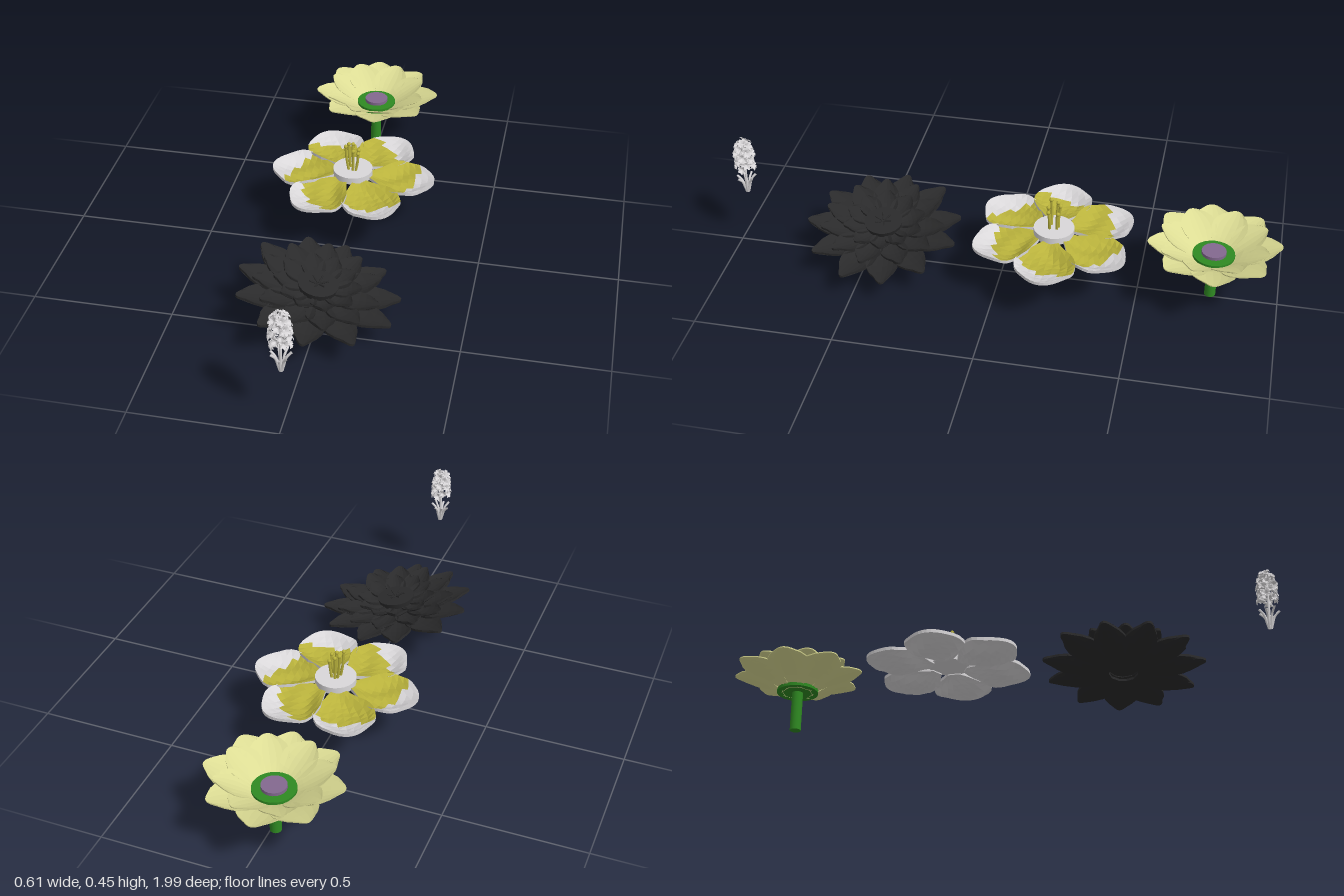
import * as THREE from 'three';
import { mergeGeometries } from 'three/addons/utils/BufferGeometryUtils.js';

const paint = (name, color) => {
  const m = new THREE.MeshStandardMaterial({ color });
  m.name = name;
  return m;
};

// small seeded random, -1..1
let seed = 7;
const rnd = () => {
  seed = (seed * 16807) % 2147483647;
  return (seed / 2147483647) * 2 - 1;
};

function add(parent, name, geometry, material, x = 0, y = 0, z = 0) {
  const mesh = new THREE.Mesh(geometry, material);
  mesh.name = name;
  mesh.position.set(x, y, z);
  parent.add(mesh);
  return mesh;
}

// Interpolate evenly spaced profile values
function sample(list, u) {
  const f = Math.min(u, 0.9999) * (list.length - 1), i = Math.floor(f);
  return list[i] + (list[i + 1] - list[i]) * (f - i);
}

// Closed, faceted petal along +x: half width from a profile, height(u, v),
// and isInner(u, v) picking top faces for the first material group.
function petal({ r0, r1, width, profile, height, thick, round = 0.1, nu = 7, nv = 6, isInner = () => true }) {
  const pos = [], inner = [], rest = [];
  const id = (i, j, low = 0) => 2 * (i * (nv + 1) + j) + low;
  for (let i = 0; i <= nu; i++) {
    for (let j = 0; j <= nv; j++) {
      const u = i / nu, v = (j / nv) * 2 - 1;
      const x = r0 + (r1 - r0) * (u - round * v * v * u * u);
      const y = height(u, v), z = v * width * sample(profile, u);
      pos.push(x, y, z, x, y - thick, z);
    }
  }
  for (let i = 0; i < nu; i++) {
    for (let j = 0; j < nv; j++) {
      const q = [[i, j], [i, j + 1], [i + 1, j + 1], [i + 1, j]];
      const [a, b, c, d] = q.map(p => id(...p));
      const list = isInner((i + 0.5) / nu, ((j + 0.5) / nv) * 2 - 1) ? inner : rest;
      list.push(a, b, c, a, c, d);
      rest.push(a + 1, c + 1, b + 1, a + 1, d + 1, c + 1);
    }
  }
  // rim
  const loop = [];
  for (let i = 0; i < nu; i++) loop.push(id(i, nv));
  for (let j = nv; j > 0; j--) loop.push(id(nu, j));
  for (let i = nu; i > 0; i--) loop.push(id(i, 0));
  for (let j = 0; j < nv; j++) loop.push(id(0, j));
  loop.forEach((p, k) => {
    const q = loop[(k + 1) % loop.length];
    rest.push(p, p + 1, q + 1, p, q + 1, q);
  });
  const g = new THREE.BufferGeometry();
  g.setAttribute('position', new THREE.Float32BufferAttribute(pos, 3));
  g.setIndex([...inner, ...rest]);
  g.addGroup(0, inner.length, 0);
  g.addGroup(inner.length, rest.length, 1);
  const flat = g.toNonIndexed();
  flat.computeVertexNormals();
  return flat;
}

// Ring of petals around y
function ring(parent, name, geometry, material, count, start, jitter = 0) {
  for (let k = 0; k < count; k++) {
    const m = add(parent, name, geometry, material);
    m.rotation.y = start + (k / count) * Math.PI * 2 + rnd() * jitter;
    const s = 1 + rnd() * jitter * 0.5;
    m.scale.set(s, 1, s);
  }
}

export function createModel() {
  const cream = paint('pale yellow', 0xdcdc94);
  const yellow = paint('mustard yellow', 0xb9b23c);
  const white = paint('soft white', 0xd9d7d9);
  const green = paint('stem green', 0x2f8a22);
  const purple = paint('dusty purple', 0x83698f);
  const black = paint('charcoal', 0x2a2a2b);

  const model = new THREE.Group();
  model.name = 'flowers';
  const group = (name, x, y, z) => {
    const g = new THREE.Group();
    g.name = name;
    g.position.set(x, y, z);
    model.add(g);
    return g;
  };

  // Cup flower on a stem
  const cup = group('cupFlower', -0.015, 0, -0.76);
  add(cup, 'stem', new THREE.CylinderGeometry(0.02, 0.02, 0.15, 16), green, 0, 0.075, 0);
  add(cup, 'greenDisc', new THREE.CylinderGeometry(0.075, 0.075, 0.035, 24), green, 0, 0.1645, 0);
  add(cup, 'purpleCentre', new THREE.CylinderGeometry(0.044, 0.044, 0.016, 20), purple, 0, 0.186, 0);
  const cupProfile = [0.38, 0.7, 0.95, 1, 0.82, 0.35];
  const cupPetal = (r1, base, rise, width) => petal({
    r0: 0.05, r1, width, profile: cupProfile, thick: 0.004, round: 0.08,
    height: (u, v) => base + rise * Math.pow(u, 0.85) + 0.012 * v * v * Math.sin(Math.PI * u),
  });
  ring(cup, 'outerPetal', cupPetal(0.238, 0.15, 0.075, 0.078), [cream, cream], 8, 0.1, 0.04);
  ring(cup, 'innerPetal', cupPetal(0.2, 0.155, 0.085, 0.066), [cream, cream], 8, 0.48, 0.06);

  // Six-petalled flower with yellow petal faces and white tips
  const star = group('sixPetalFlower', 0, 0, -0.19);
  const broad = petal({
    r0: 0.06, r1: 0.303, width: 0.108, thick: 0.012, round: 0.13, nu: 10, nv: 8,
    profile: [0.2, 0.5, 0.82, 0.97, 1, 0.9, 0.6],
    height: (u, v) => 0.207 - (0.03 * (1 - v * v) + 0.006 * Math.sin(9 * u + 5 * v)) * Math.sin(Math.PI * u),
    isInner: (u, v) => u < 0.68 - 0.16 * v,
  });
  ring(star, 'broadPetal', broad, [yellow, white], 6, 0, 0);
  add(star, 'centreDisc', new THREE.CylinderGeometry(0.073, 0.073, 0.026, 24), white, 0, 0.212, 0);
  const stamens = [[-0.022, 0.012, 0.1], [-0.004, -0.016, 0.09], [0.02, 0.014, 0.075],
    [-0.016, -0.008, 0.095], [0.004, 0.016, 0.085], [0.016, -0.012, 0.07]];
  for (const [x, z, h] of stamens) {
    const path = new THREE.CatmullRomCurve3([
      new THREE.Vector3(x * 0.6, 0.22, z), new THREE.Vector3(x, 0.225 + h * 0.5, z),
      new THREE.Vector3(x * 1.1, 0.225 + h, z * 1.3)]);
    add(star, 'stamen', new THREE.TubeGeometry(path, 6, 0.005, 6), yellow);
    add(star, 'anther', new THREE.SphereGeometry(0.0075, 8, 6), yellow, x * 1.1, 0.224 + h, z * 1.3);
  }

  // Dark layered flower, tilted sideways
  const dark = group('darkFlower', 0, 0.135, 0.44);
  dark.rotation.z = -0.155;
  const darkPetal = (r0, r1, width, y0, y1) => petal({
    r0, r1, width, thick: 0.009, round: 0.12, profile: [0.45, 0.7, 0.92, 1, 0.85, 0.4],
    height: (u, v) => y0 + (y1 - y0) * u - 0.014 * (1 - v * v) * Math.sin(Math.PI * u),
  });
  ring(dark, 'outerPetal', darkPetal(0.05, 0.287, 0.06, -0.018, 0.006), [black, black], 11, 0.2, 0.06);
  ring(dark, 'middlePetal', darkPetal(0.05, 0.225, 0.05, -0.002, 0.032), [black, black], 11, 0.47, 0.06);
  ring(dark, 'innerPetal', darkPetal(0.04, 0.15, 0.042, 0.012, 0.042), [black, black], 10, 0.1, 0.06);
  add(dark, 'centreDisc', new THREE.CylinderGeometry(0.07, 0.06, 0.04, 20), black, 0, 0.012, 0);
  for (let k = 0; k < 6; k++) {
    const rod = new THREE.CylinderGeometry(0.003, 0.003, 0.03, 6).rotateZ(-1.2).translate(0.019, 0.037, 0);
    add(dark, 'stamen', rod, black).rotation.y = k * 1.05 + 0.3;
  }

  // Flower spike: leaves, stalk and clustered star florets
  const spike = group('flowerSpike', 0, 0, 0.955);
  add(spike, 'stalk', new THREE.CylinderGeometry(0.004, 0.005, 0.21, 8), white, 0, 0.33, 0);
  for (let k = 0; k < 7; k++) {
    const path = new THREE.CatmullRomCurve3([[0.004, 0], [0.01, 0.025], [0.018, 0.055], [0.036, 0.077]]
      .map(([x, y]) => new THREE.Vector3(x, y, 0)));
    const leaf = add(spike, 'leaf', new THREE.TubeGeometry(path, 8, 0.0045, 6), white, 0, 0.224, 0);
    leaf.rotation.y = (k / 7) * Math.PI * 2 + 0.2;
    leaf.scale.set(1, 0.9 + rnd() * 0.1, 1);
  }
  const blade = petal({
    r0: 0.002, r1: 0.022, width: 0.0065, thick: 0.0015, nu: 4, nv: 2, profile: [0.4, 0.9, 1, 0.15],
    height: (u, v) => 0.012 * Math.sin(u * 2.2) + 0.002 * v * v,
  });
  const throat = new THREE.CylinderGeometry(0.005, 0.003, 0.018, 6).toNonIndexed().translate(0, -0.007, 0);
  throat.deleteAttribute('uv');
  throat.computeVertexNormals();
  const floret = mergeGeometries([throat,
    ...Array.from({ length: 6 }, (_, k) => blade.clone().rotateY(k * Math.PI / 3))]);
  const up = new THREE.Vector3(0, 1, 0);
  for (let k = 0; k < 27; k++) {
    const t = k / 26, a = k * 2.4;
    const out = new THREE.Vector3(Math.cos(a), 0.15 + 1.2 * t ** 4 + rnd() * 0.35, Math.sin(a)).normalize();
    const r = 0.023 - 0.012 * t ** 3;
    const m = add(spike, 'floret', floret, white, Math.cos(a) * r, 0.332 + 0.1 * t, Math.sin(a) * r);
    m.quaternion.setFromUnitVectors(up, out);
    m.scale.setScalar(0.95 + rnd() * 0.12);
  }
  return model;
}
